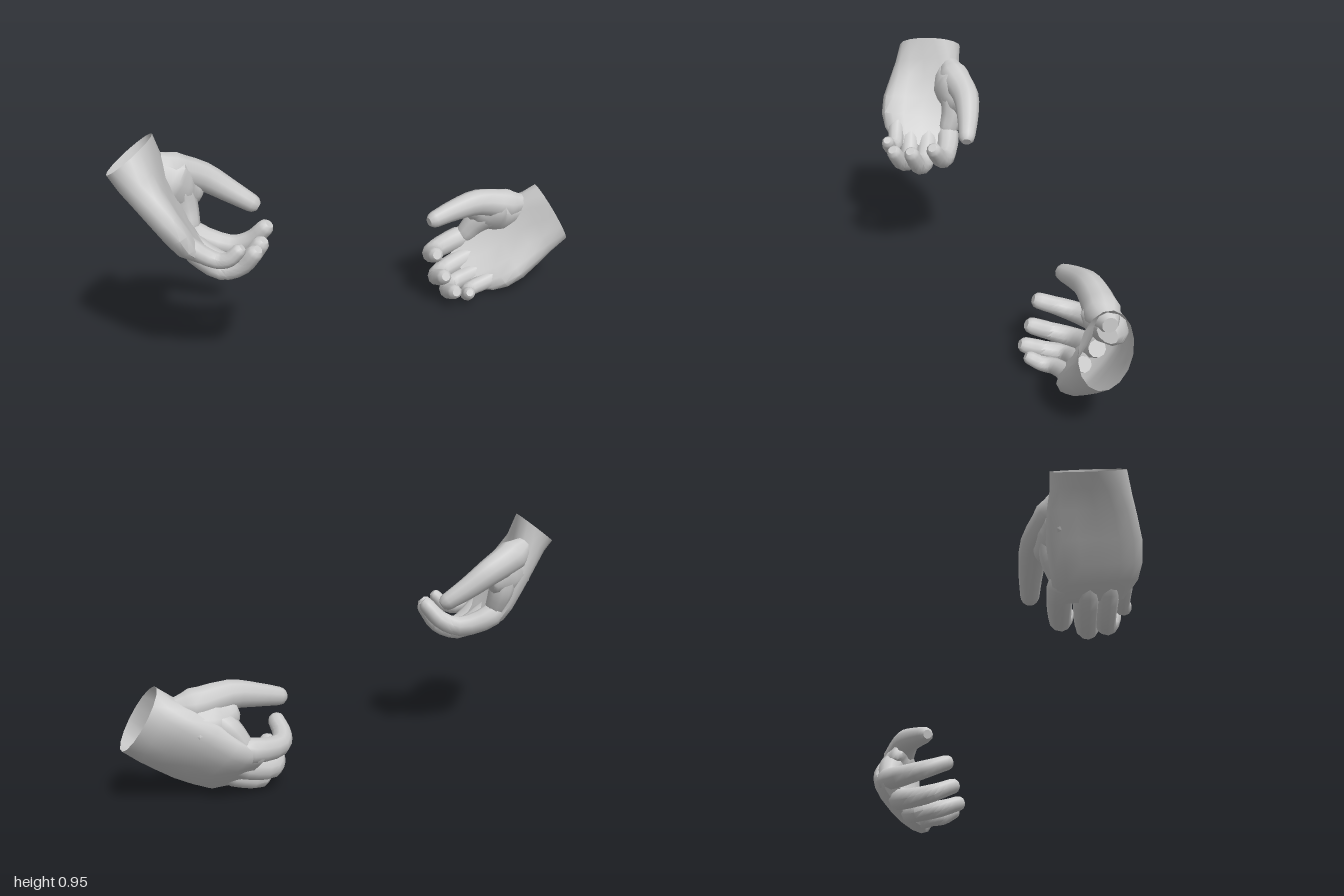
import * as THREE from 'three';
import { toCreasedNormals } from 'three/addons/utils/BufferGeometryUtils.js';

const V = (a) => new THREE.Vector3(...a);
const material = new THREE.MeshStandardMaterial({ color: 0xcccccc, side: THREE.DoubleSide });

// Skin a list of rings (arrays of Vector3); optionally close either end
function loft(rings, closeStart, closeEnd) {
  const n = rings[0].length, pos = [], idx = [];
  rings.forEach((r) => r.forEach((p) => pos.push(p.x, p.y, p.z)));
  for (let i = 0; i < rings.length - 1; i++) {
    for (let j = 0; j < n; j++) {
      const a = i * n + j, b = i * n + (j + 1) % n;
      idx.push(a, b, b + n, a, b + n, a + n);
    }
  }
  const cap = (ring, base, end) => {
    const c = ring.reduce((s, p) => s.add(p), new THREE.Vector3()).divideScalar(n);
    const k = pos.push(c.x, c.y, c.z) / 3 - 1;
    for (let j = 0; j < n; j++) {
      const a = base + j, b = base + (j + 1) % n;
      if (end) idx.push(a, b, k); else idx.push(b, a, k);
    }
  };
  if (closeStart) cap(rings[0], 0, false);
  if (closeEnd) cap(rings[rings.length - 1], (rings.length - 1) * n, true);
  const g = new THREE.BufferGeometry();
  g.setAttribute('position', new THREE.Float32BufferAttribute(pos, 3));
  g.setIndex(idx);
  return g;
}

// Palm: [centre, width axis, palm normal, half width, half thickness, hollow of the palm]
const PALM = [
  [[-0.90, 0.885, -0.065], [-0.645, -0.143, 0.752], [0.523, 0.576, 0.628], 0.14, 0.096, 0],
  [[-0.873, 0.82, -0.04], [-0.48, -0.12, 0.87], [0.74, 0.47, 0.47], 0.146, 0.085, 0.15],
  [[-0.84, 0.755, -0.02], [-0.4, 0, 0.92], [0.83, 0.43, 0.32], 0.161, 0.08, 0.35],
  [[-0.797, 0.67, 0.012], [-0.33, 0.1, 0.94], [0.87, 0.44, 0.24], 0.176, 0.074, 0.5],
  [[-0.763, 0.595, 0.037], [-0.28, 0.18, 0.94], [0.88, 0.44, 0.18], 0.174, 0.064, 0.4],
  [[-0.735, 0.54, 0.047], [-0.28, 0.18, 0.94], [0.88, 0.44, 0.18], 0.16, 0.052, 0.1],
  [[-0.685, 0.492, 0.055], [-0.28, 0.18, 0.94], [0.88, 0.44, 0.18], 0.128, 0.03, 0],
];

function palm() {
  const sides = 16;
  const rings = PALM.map(([c, w, n, hw, ht, hollow], i) => {
    return Array.from({ length: sides }, (_, j) => {
      const a = (j / sides) * Math.PI * 2, co = Math.cos(a), si = Math.sin(a);
      const power = i === 0 ? 1 : si < 0 ? 0.8 : 0.92;
      const x = Math.sign(co) * Math.abs(co) ** power * hw;
      let y = Math.sign(si) * Math.abs(si) ** power * ht;
      if (si < 0) y *= 1 - hollow * si ** 4;
      return V(c).addScaledVector(V(w).normalize(), x).addScaledVector(V(n).normalize(), -y);
    });
  });
  return loft(rings, false, true);
}

// Digit: rounded limb along [x, y, z, radius] joints, deepened across by a factor
function digit(joints, deep = 1, steps = 12, sides = 10) {
  const curve = new THREE.CatmullRomCurve3(joints.map((j) => V(j.slice(0, 3))), false, 'centripetal');
  const ref = V([-0.28, 0.18, 0.94]);
  const last = joints.length - 1;
  const ring = (c, d, r) => {
    const u = ref.clone().addScaledVector(d, -ref.dot(d)).normalize();
    const v = d.clone().cross(u);
    return Array.from({ length: sides }, (_, j) => {
      const a = ((j + 0.5) / sides) * Math.PI * 2;
      return c.clone().addScaledVector(u, r * Math.cos(a)).addScaledVector(v, r * deep * Math.sin(a));
    });
  };
  const rings = [];
  for (let i = 0; i <= steps; i++) {
    const t = i / steps, k = Math.min(Math.floor(t * last), last - 1);
    const r = THREE.MathUtils.lerp(joints[k][3], joints[k + 1][3], t * last - k);
    rings.push(ring(curve.getPoint(t), curve.getTangent(t), r));
  }
  // rounded tip
  const tip = curve.getPoint(1), d = curve.getTangent(1), r = joints[last][3];
  for (const [f, s] of [[0.45, 0.88], [0.8, 0.55]]) {
    rings.push(ring(tip.clone().addScaledVector(d, r * f), d, r * s));
  }
  return loft(rings, true, true);
}

const DIGITS = {
  thumb: [[-0.815, 0.835, -0.12, 0.03], [-0.74, 0.785, -0.117, 0.068], [-0.61, 0.728, -0.125, 0.057],
    [-0.515, 0.663, -0.097, 0.046], [-0.437, 0.609, -0.062, 0.036]],
  thumbMound: [[-0.82, 0.8, -0.09, 0.03], [-0.755, 0.735, -0.095, 0.07], [-0.695, 0.695, -0.105, 0.058],
    [-0.645, 0.68, -0.115, 0.035]],
  thumbWeb: [[-0.765, 0.75, -0.09, 0.045], [-0.715, 0.7, -0.1, 0.058], [-0.697, 0.63, -0.095, 0.054],
    [-0.69, 0.56, -0.07, 0.044]],
  indexFinger: [[-0.725, 0.59, -0.065, 0.036], [-0.675, 0.525, -0.062, 0.05], [-0.55, 0.478, 0.0, 0.042],
    [-0.485, 0.508, 0.047, 0.037], [-0.443, 0.565, 0.087, 0.033]],
  middleFinger: [[-0.75, 0.58, 0.005, 0.034], [-0.695, 0.505, 0.03, 0.048], [-0.602, 0.445, 0.08, 0.042],
    [-0.535, 0.469, 0.13, 0.037], [-0.495, 0.54, 0.17, 0.033]],
  ringFinger: [[-0.77, 0.59, 0.08, 0.032], [-0.72, 0.52, 0.103, 0.044], [-0.64, 0.452, 0.138, 0.039],
    [-0.578, 0.479, 0.193, 0.035], [-0.543, 0.54, 0.233, 0.032]],
  littleFinger: [[-0.79, 0.62, 0.13, 0.028], [-0.75, 0.567, 0.155, 0.036], [-0.675, 0.52, 0.188, 0.032],
    [-0.638, 0.53, 0.222, 0.03], [-0.607, 0.565, 0.24, 0.027]],
};
const DEEP = { thumbMound: 1.55 };

// The second hand is a mirrored copy of the first, turned to its own pose
const MIRROR = new THREE.Matrix4().set(
  -0.882, 0.44, -0.168, -0.247,
  0.44, 0.642, -0.627, 0.114,
  0.168, 0.627, 0.76, -0.388,
  0, 0, 0, 1);

function buildHand(name, matrix) {
  const hand = new THREE.Group();
  hand.name = name;
  const add = (part, g) => {
    if (matrix) {
      g.applyMatrix4(matrix);
      const ix = g.index.array;
      for (let i = 0; i < ix.length; i += 3) [ix[i], ix[i + 1]] = [ix[i + 1], ix[i]];
    }
    const mesh = new THREE.Mesh(toCreasedNormals(g, 0.8), material);
    mesh.name = part;
    hand.add(mesh);
  };
  add('palm', palm());
  for (const [part, joints] of Object.entries(DIGITS)) add(part, digit(joints, DEEP[part]));
  return hand;
}

export function createModel() {
  const model = new THREE.Group();
  model.name = 'pairOfHands';
  model.add(buildHand('rightHand', null), buildHand('leftHand', MIRROR));
  return model;
}
